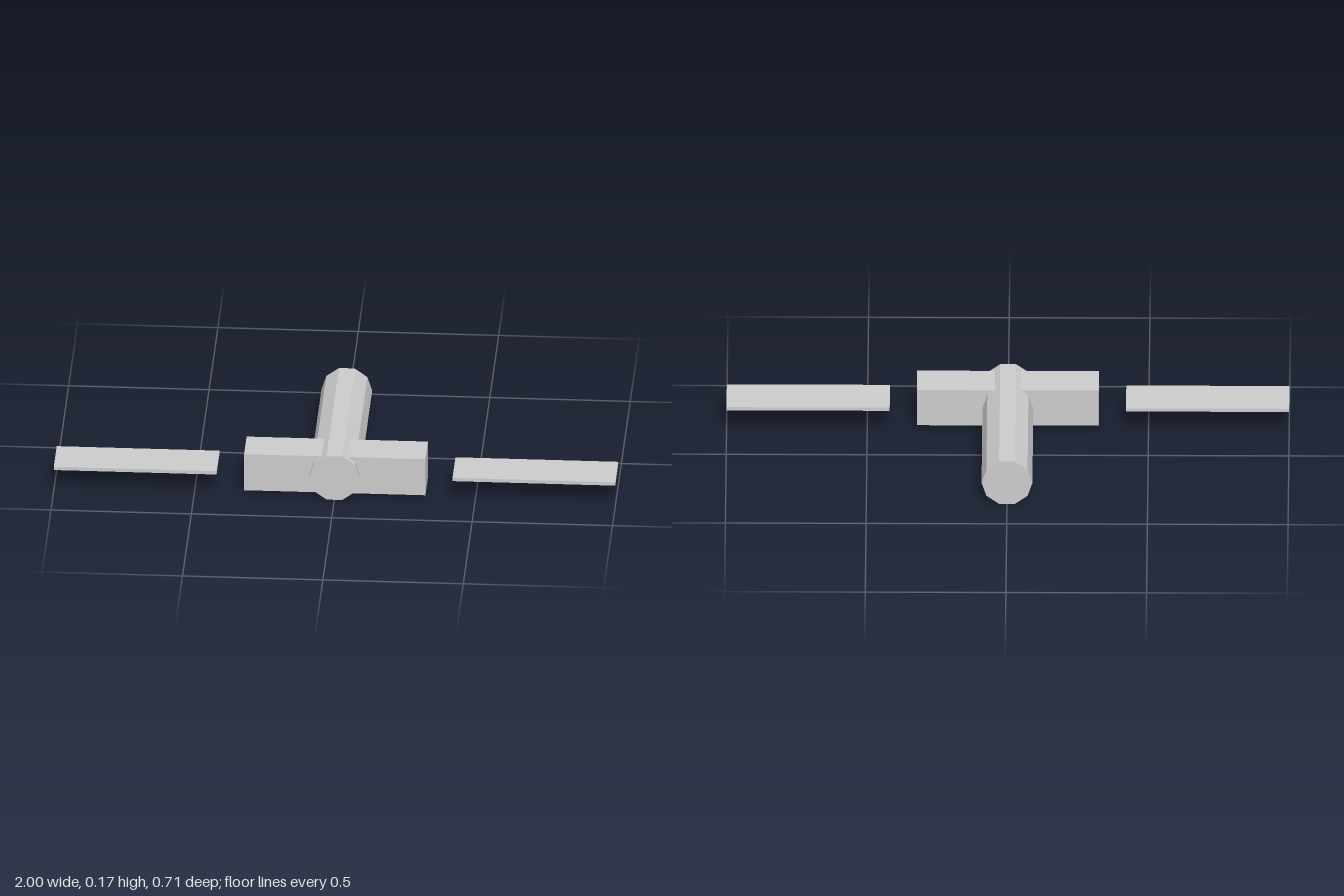
import * as THREE from 'three';

export function createModel() {
  const model = new THREE.Group();
  const grey = new THREE.MeshStandardMaterial({ color: 0xcccccc, flatShading: true });
  grey.name = 'light grey';

  const axisY = 0.086;
  const moduleZ = 0.259;

  function add(name, geometry, x, y, z) {
    const mesh = new THREE.Mesh(geometry, grey);
    mesh.name = name;
    mesh.position.set(x, y, z);
    model.add(mesh);
  }

  // Ten-sided hull lying along z, with a flat facet on top and below
  const radius = axisY / Math.sin(Math.PI * 0.4);
  const hull = new THREE.CylinderGeometry(radius, radius, 0.71, 10, 1, false, Math.PI / 2);
  hull.rotateX(Math.PI / 2);
  add('hull', hull, 0, axisY, 0);

  // Cross module passing through the front of the hull
  add('crossModule', new THREE.BoxGeometry(0.646, 0.143, 0.142), 0, axisY + 0.001, moduleZ);

  // Thin free-standing panels on both sides
  for (const [name, side] of [['leftPanel', 1], ['rightPanel', -1]]) {
    add(name, new THREE.BoxGeometry(0.58, 0.013, 0.166), side * 0.71, axisY + 0.001, moduleZ);
  }

  return model;
}
